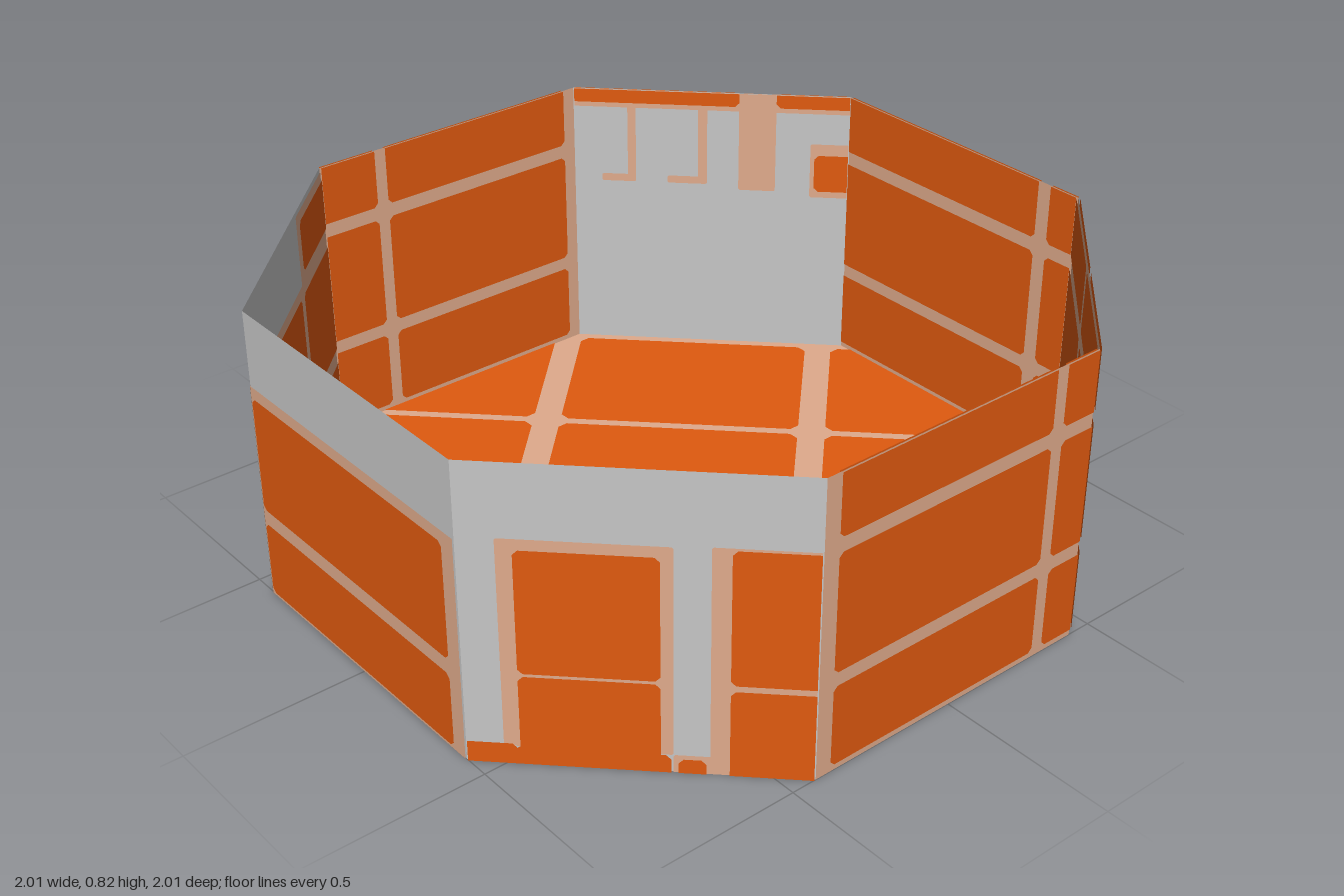
import * as THREE from 'three';

const H = 0.82, C = 0.43;            // wall height, half length of a straight side
const LAYER = 0.0025;                // spacing of the thin painted plates

const mat = (name, color) => {
  const m = new THREE.MeshStandardMaterial({ color, side: THREE.DoubleSide });
  m.name = name;
  return m;
};

// Rectangle with slightly cut corners
const block = (x0, y0, x1, y1, c = 0.012) => [
  [x0 + c, y0], [x1 - c, y0], [x1, y0 + c], [x1, y1 - c],
  [x1 - c, y1], [x0 + c, y1], [x0, y1 - c], [x0, y0 + c],
];

// Keep the part of a convex polygon where a*x + b*y <= d for every plane
function clip(poly, planes) {
  for (const [a, b, d] of planes) {
    const out = [];
    poly.forEach((p, i) => {
      const q = poly[(i + 1) % poly.length];
      const fp = a * p[0] + b * p[1] - d, fq = a * q[0] + b * q[1] - d;
      if (fp <= 0) out.push(p);
      if (fp * fq < 0) {
        const t = fp / (fp - fq);
        out.push([p[0] + t * (q[0] - p[0]), p[1] + t * (q[1] - p[1])]);
      }
    });
    poly = out;
  }
  return poly;
}

const flat = (poly) => new THREE.ShapeGeometry(new THREE.Shape(poly.map(([x, y]) => new THREE.Vector2(x, y))));

function add(parent, name, geometry, material) {
  const mesh = new THREE.Mesh(geometry, material);
  mesh.name = name;
  parent.add(mesh);
  return mesh;
}

// Every combination of column and row becomes one brick
const grid = (cols, rows) => cols.flatMap(([a, b]) => rows.map(([y0, y1]) => ['brick', a, y0, b, y1]));
const ROWS = [[0.02, 0.247], [0.285, 0.612], [0.652, 0.9]];

export function createModel() {
  const model = new THREE.Group();
  model.name = 'octagonalBasin';
  const mats = {
    brick: mat('brick orange', 0xe05a0f),
    mortar: mat('pale mortar', 0xe0ab8c),
    plaster: mat('grey plaster', 0xc6c6c6),
  };

  // Walls run counter-clockwise from the front; patches are
  // [colour, left, bottom, right, top], left and right as fractions of the width
  const walls = [
    ['frontWall', 'plaster', [
      ['mortar', -0.1, -0.1, 1.1, 0.615],
      ...grid([[0.012, 0.948]], [[0.01, 0.22], [0.262, 0.585]]),
    ]],
    ['frontLeftWall', 'plaster', [
      ['mortar', 0.11, 0.05, 0.596, 0.625],
      ['mortar', 0.7, 0.03, 1.1, 0.63],
      ['mortar', 0.596, -0.1, 0.756, 0.05],
      ['brick', -0.1, -0.1, 0.15, 0.058],
      ['brick', 0.14, -0.1, 0.59, 0.05],
      ['brick', 0.158, 0.0, 0.56, 0.252],
      ['brick', 0.158, 0.26, 0.56, 0.597],
      ['brick', 0.61, -0.1, 0.69, 0.04],
      ['brick', 0.756, -0.1, 1.1, 0.243],
      ['brick', 0.756, 0.259, 1.1, 0.625],
    ]],
    ['leftWall', 'mortar', grid([[0.047, 0.831], [0.872, 1.1]], ROWS)],
    ['backLeftWall', 'mortar', grid([[-0.1, 0.475], [0.51, 1.1]], ROWS)],
    ['backWall', 'mortar', grid([[-0.1, 0.106], [0.155, 1.1]], ROWS)],
    ['backRightWall', 'plaster', [
      ['mortar', -0.1, 0.5, 0.14, 0.67],
      ['brick', -0.1, 0.52, 0.125, 0.635],
      ['mortar', -0.1, 0.765, 1.1, 0.9],
      ['brick', -0.1, 0.78, 0.266, 0.9],
      ['mortar', 0.266, 0.515, 0.4, 0.9],
      ['brick', 0.4, 0.78, 1.1, 0.9],
      ['mortar', 0.515, 0.53, 0.548, 0.77],
      ['mortar', 0.515, 0.53, 0.66, 0.553],
      ['mortar', 0.775, 0.53, 0.805, 0.77],
      ['mortar', 0.775, 0.53, 0.9, 0.553],
    ]],
    ['rightWall', 'mortar', grid([[0.047, 0.76], [0.8, 1.1]], ROWS)],
    ['frontRightWall', 'plaster', [
      ['mortar', -0.1, -0.1, 1.1, 0.61],
      ['mortar', -0.1, 0.6, 0.35, 0.81],
      ['brick', -0.1, 0.64, 0.32, 0.785],
      ...grid([[-0.1, 0.342], [0.377, 0.974]], [[0.01, 0.217], [0.262, 0.583]]),
    ]],
  ];

  walls.forEach(([name, base, patches], i) => {
    const straight = i % 2 === 0;
    const width = straight ? 2 * C : (1 - C) * Math.SQRT2;
    const dist = straight ? 1 : (1 + C) / Math.SQRT2;
    const angle = (i * Math.PI) / 4;
    const wall = new THREE.Group();
    wall.name = name;
    wall.position.set(Math.sin(angle) * dist, 0, Math.cos(angle) * dist);
    wall.rotation.y = angle;
    model.add(wall);

    const half = width / 2;
    add(wall, name + 'Panel', flat([[-half, 0], [half, 0], [half, H], [-half, H]]), mats[base]);

    // Patches appear on both faces of the wall
    const limits = [[1, 0, half - 0.003], [-1, 0, half - 0.003], [0, 1, H], [0, -1, 0]];
    for (const [colour, s0, y0, s1, y1] of patches) {
      const cut = colour === 'brick' ? 0.012 : 0.004;
      const geo = flat(clip(block(s0 * width - half, y0, s1 * width - half, y1, cut), limits));
      const depth = LAYER * (colour === 'brick' ? 2 : 1);
      for (const side of [1, -1]) add(wall, colour + 'Patch', geo, mats[colour]).position.z = side * depth;
    }
  });

  // Floor: mortar octagon with diagonal bricks on both faces
  const octagon = [[-C, -1], [C, -1], [1, -C], [1, C], [C, 1], [-C, 1], [-1, C], [-1, -C]];
  const floor = new THREE.Group();
  floor.name = 'floor';
  model.add(floor);
  add(floor, 'floorBase', flat(octagon).rotateX(Math.PI / 2), mats.mortar).position.y = LAYER;

  const e = 1 + C;
  const planes = [[1, 0, 1], [-1, 0, 1], [0, 1, 1], [0, -1, 1], [1, 1, e], [-1, -1, e], [1, -1, e], [-1, 1, e]];
  const courses = [[-1.37, -0.665], [-0.555, 0.415], [0.525, 1.215], [1.305, 1.6]];  // along x - z
  const joints = [[-1.39, -0.715], [-0.677, -0.03], [0.008, 0.65], [0.688, 1.6]];    // along x + z
  for (const [a0, a1] of courses) for (const [b0, b1] of joints) {
    const tile = block(a0, b0, a1, b1, 0.03).map(([a, b]) => [(b + a) / 2, (b - a) / 2]);
    const poly = clip(tile, planes);
    if (poly.length < 3) continue;
    const geo = flat(poly).rotateX(Math.PI / 2);
    for (const y of [0, 2 * LAYER]) add(floor, 'floorBrick', geo, mats.brick).position.y = y;
  }
  return model;
}
